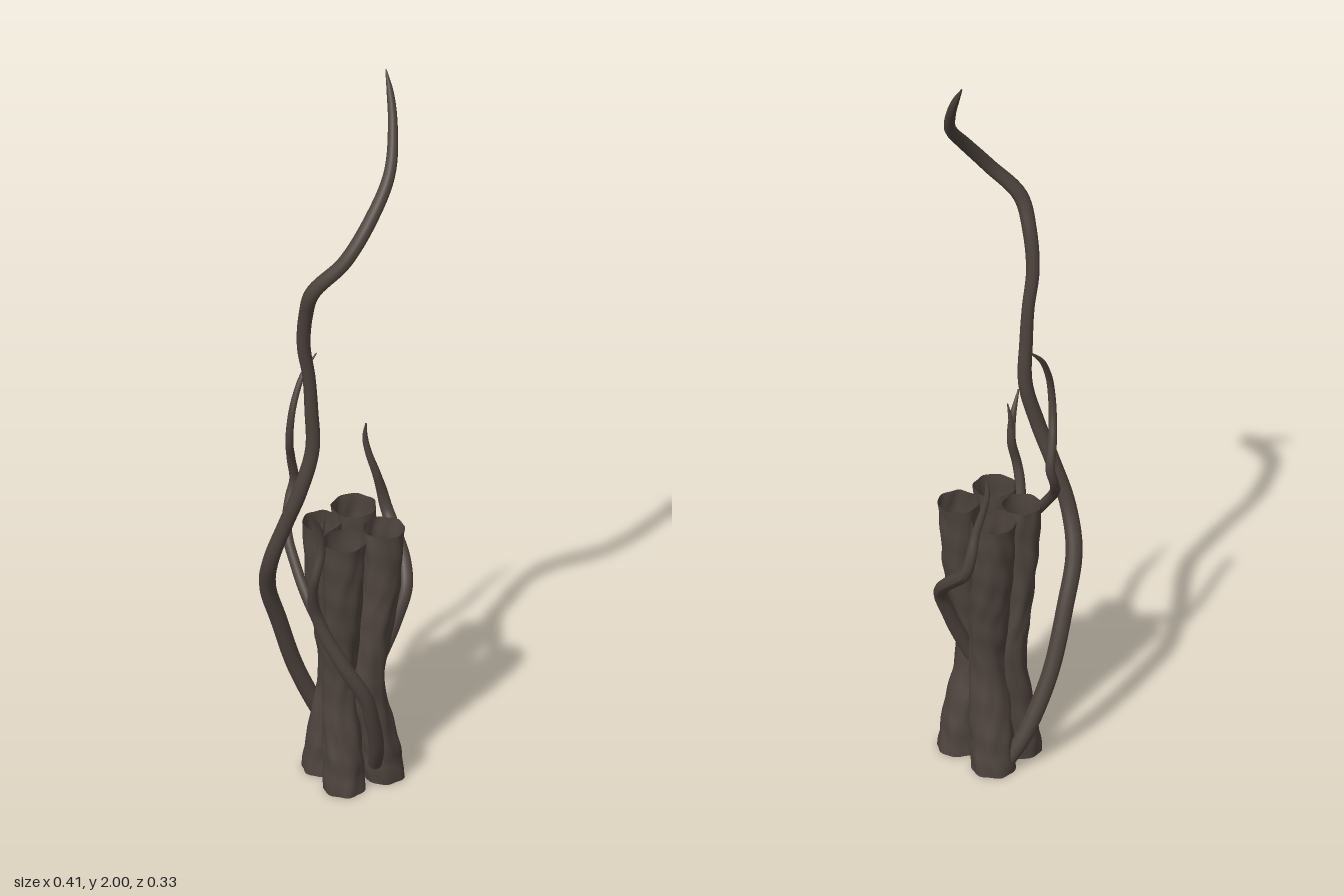
import * as THREE from 'three';

const bark = new THREE.MeshStandardMaterial({ color: 0x4d433d, side: THREE.DoubleSide });
bark.name = 'dark bark';

// Sweeps rings along a smooth path; stations are [x, y, z, radius].
function sweep(name, stations, rings, sides, { flatEnds = false, rough = 0, seed = 0 } = {}) {
  const path = new THREE.CatmullRomCurve3(stations.map(s => new THREE.Vector3(s[0], s[1], s[2])));
  const radii = new THREE.CatmullRomCurve3(stations.map(s => new THREE.Vector3(s[3], s[1], 0)));
  const pos = [], index = [];
  const u = new THREE.Vector3(), v = new THREE.Vector3(1, 0, 0);
  for (let i = 0; i <= rings; i++) {
    const t = i / rings;
    const p = path.getPoint(t), tan = flatEnds ? new THREE.Vector3(0, 1, 0) : path.getTangent(t);
    const r = Math.max(radii.getPoint(t).x, 0.001);
    // carry the frame along so that the sweep does not twist
    v.addScaledVector(tan, -v.dot(tan)).normalize();
    u.crossVectors(tan, v);
    for (let j = 0; j <= sides; j++) {
      const a = (j % sides) / sides * Math.PI * 2;
      // long wandering grooves broken by short knots
      const groove = Math.sin(7 * a + 2.5 * Math.sin(14 * t + seed) + seed);
      const knot = Math.sin(3 * a + 19 * t + seed * 2) * Math.sin(31 * t - 2 * a + seed);
      const d = r * (1 + rough * (0.55 * groove + 0.75 * knot));
      const q = p.clone().addScaledVector(v, Math.cos(a) * d).addScaledVector(u, Math.sin(a) * d);
      pos.push(q.x, q.y, q.z);
      if (i < rings && j < sides) {
        const k = i * (sides + 1) + j, n = k + sides + 1;
        index.push(k, k + 1, n, k + 1, n + 1, n);
      }
    }
  }
  const geo = new THREE.BufferGeometry();
  geo.setAttribute('position', new THREE.Float32BufferAttribute(pos, 3));
  geo.setIndex(index);
  geo.computeVertexNormals();
  const mesh = new THREE.Mesh(geo, bark);
  mesh.name = name;
  return mesh;
}

export function createModel() {
  const group = new THREE.Group();
  group.name = 'twistedTree';

  // Four hollow trunks, pinched together at the waist: [x, z, radius] at the ends
  const trunks = [
    [0.066, -0.069, 0.055], [-0.04, -0.06, 0.048],
    [-0.05, 0.047, 0.052], [0.064, 0.058, 0.051],
  ];
  const levels = [[0, 1, 1], [0.12, 0.82, 0.94], [0.28, 0.5, 0.84], [0.42, 0.68, 0.87], [0.57, 0.92, 0.93], [0.72, 1, 1]];
  trunks.forEach(([x, z, r], i) => {
    const stations = levels.map(([y, s, w]) => {
      const lean = 0.03 * (1 - s);
      return [x * s - Math.sign(z) * lean, y, z * (0.3 + 0.7 * s) + Math.sign(x) * lean, r * w];
    });
    group.add(sweep('trunk' + (i + 1), stations, 60, 36, { flatEnds: true, rough: 0.06, seed: i * 1.7 }));
  });

  // Tall vine: climbs round the back, past the right side and up to the tip
  group.add(sweep('tallVine', [
    [0.05, 0.02, -0.1, 0.018], [0.01, 0.1, -0.125, 0.021], [-0.055, 0.25, -0.143, 0.021],
    [-0.115, 0.42, -0.135, 0.021], [-0.165, 0.55, -0.115, 0.021], [-0.185, 0.66, -0.07, 0.02],
    [-0.17, 0.78, -0.03, 0.019], [-0.15, 0.88, 0, 0.019], [-0.125, 1.0, 0.018, 0.018],
    [-0.13, 1.12, 0.02, 0.017], [-0.137, 1.22, 0.02, 0.016], [-0.155, 1.32, 0.022, 0.017],
    [-0.162, 1.42, 0.04, 0.018], [-0.163, 1.51, 0.075, 0.019], [-0.105, 1.6, 0.125, 0.018],
    [-0.025, 1.7, 0.128, 0.017], [0.05, 1.79, 0.1, 0.015], [0.1, 1.89, 0.045, 0.012],
    [0.118, 1.95, 0.01, 0.009], [0.127, 2.0, -0.02, 0.002],
  ], 130, 14, { rough: 0.03 }));

  // Front vine, which forks at mid height
  group.add(sweep('frontVine', [
    [0.02, 0.06, 0.08, 0.018], [0, 0.13, 0.115, 0.019], [-0.03, 0.23, 0.138, 0.019],
    [-0.06, 0.32, 0.146, 0.019], [-0.105, 0.41, 0.125, 0.018], [-0.14, 0.5, 0.092, 0.017],
    [-0.16, 0.57, 0.078, 0.015], [-0.18, 0.65, 0.095, 0.013], [-0.183, 0.7, 0.11, 0.012],
    [-0.167, 0.77, 0.112, 0.011], [-0.175, 0.83, 0.116, 0.009], [-0.205, 0.895, 0.126, 0.002],
  ], 70, 12, { rough: 0.03, seed: 1 }));
  group.add(sweep('frontVineTwig', [
    [-0.168, 0.78, 0.112, 0.008], [-0.165, 0.83, 0.112, 0.006], [-0.162, 0.875, 0.12, 0.0015],
  ], 12, 8));
  group.add(sweep('curlingVine', [
    [-0.145, 0.52, 0.085, 0.014], [-0.152, 0.58, 0.04, 0.014], [-0.148, 0.65, -0.02, 0.013],
    [-0.135, 0.72, -0.075, 0.013], [-0.1, 0.78, -0.112, 0.012], [-0.083, 0.83, -0.116, 0.012],
    [-0.1, 0.9, -0.105, 0.011], [-0.12, 0.97, -0.085, 0.01], [-0.12, 1.04, -0.078, 0.009],
    [-0.1, 1.1, -0.085, 0.008], [-0.07, 1.15, -0.093, 0.006], [-0.03, 1.19, -0.095, 0.0015],
  ], 80, 12, { rough: 0.03, seed: 2 }));

  // Left vine: leaves the trunks at the waist and bends backward
  group.add(sweep('leftVine', [
    [0.055, 0.28, 0.02, 0.016], [0.085, 0.35, 0.03, 0.018], [0.115, 0.42, 0.035, 0.018],
    [0.15, 0.5, 0.03, 0.018], [0.172, 0.55, -0.005, 0.017], [0.184, 0.6, -0.06, 0.017],
    [0.19, 0.64, -0.1, 0.016], [0.183, 0.69, -0.112, 0.014], [0.165, 0.75, -0.11, 0.011],
    [0.148, 0.81, -0.118, 0.009], [0.14, 0.86, -0.125, 0.007], [0.139, 0.905, -0.12, 0.002],
  ], 70, 12, { rough: 0.03, seed: 3 }));

  return group;
}
